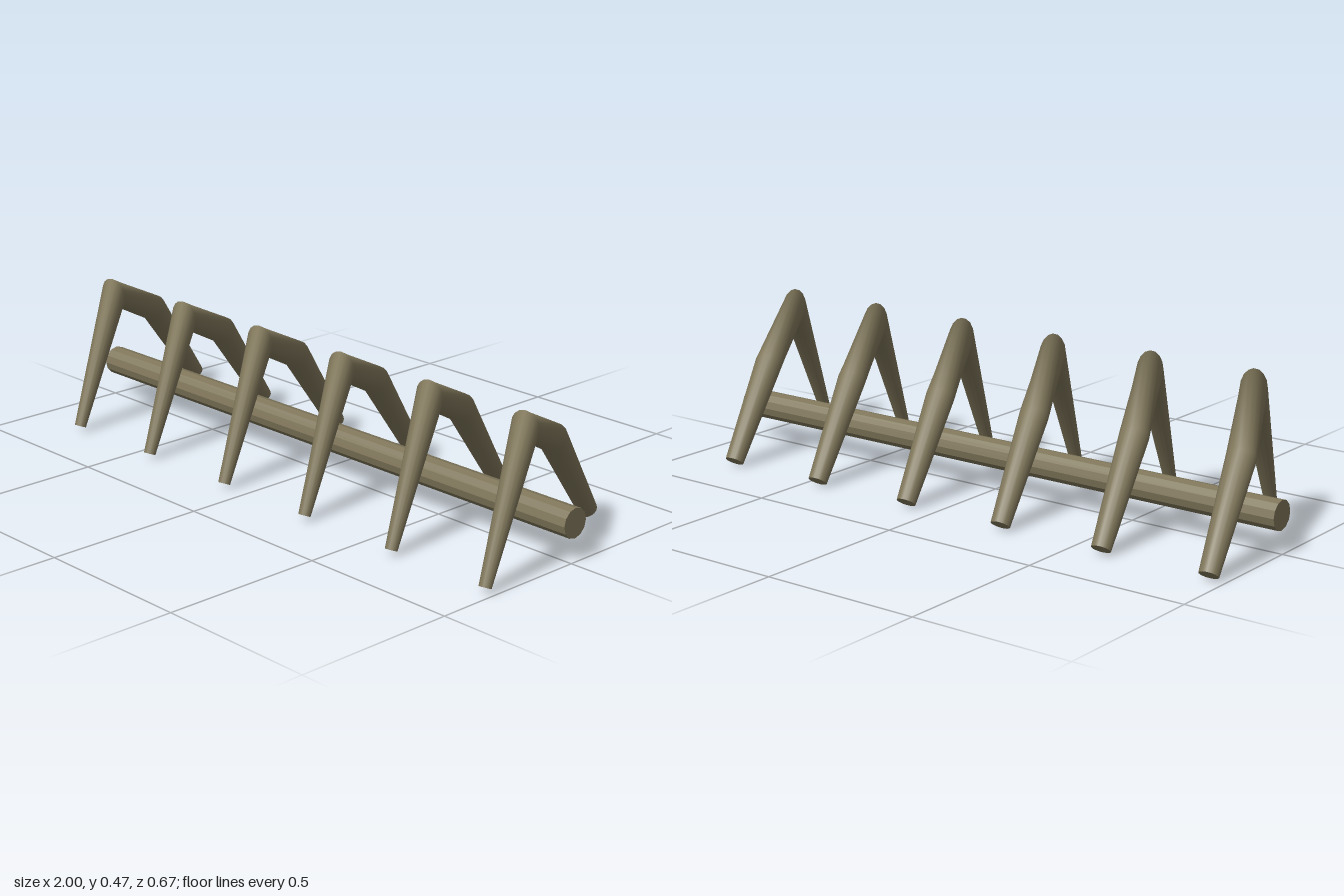
import * as THREE from 'three';

const SIDES = 16;

// Mitred tapering tube: a ring on the bisecting plane at each bend, plus flat end caps
function bentTube(points, radii) {
  const dirs = points.slice(1).map((p, i) => p.clone().sub(points[i]).normalize());
  const last = points.length - 1;
  const pos = [], index = [], rings = [];
  for (let i = 0; i <= last; i++) {
    const t1 = dirs[Math.max(i - 1, 0)], t2 = dirs[Math.min(i, last - 1)];
    const t = t1.clone().add(t2).normalize();
    const k = Math.min(Math.max(i, 1), last - 1);
    const w = dirs[k - 1].clone().cross(dirs[k]).normalize();
    const v = w.clone().cross(t).normalize();
    const stretch = 1 / t.dot(t1);
    const ring = [];
    for (let j = 0; j < SIDES; j++) {
      const a = (j / SIDES) * Math.PI * 2;
      ring.push(points[i].clone()
        .addScaledVector(v, Math.cos(a) * radii[i] * stretch)
        .addScaledVector(w, Math.sin(a) * radii[i]));
    }
    rings.push(ring);
    ring.forEach(p => pos.push(p.x, p.y, p.z));
  }
  for (let i = 0; i < last; i++) {
    for (let j = 0; j < SIDES; j++) {
      const n = (j + 1) % SIDES;
      const a = i * SIDES + j, b = i * SIDES + n, d = a + SIDES, c = b + SIDES;
      index.push(a, b, d, b, c, d);
    }
  }
  // Caps have their own vertices so their rims stay sharp
  for (const [i, flip] of [[0, true], [last, false]]) {
    const base = pos.length / 3;
    rings[i].forEach(p => pos.push(p.x, p.y, p.z));
    for (let j = 1; j < SIDES - 1; j++) {
      index.push(base, base + (flip ? j + 1 : j), base + (flip ? j : j + 1));
    }
  }
  const geo = new THREE.BufferGeometry();
  geo.setAttribute('position', new THREE.Float32BufferAttribute(pos, 3));
  geo.setIndex(index);
  geo.computeVertexNormals();
  return geo;
}

export function createModel() {
  const model = new THREE.Group();
  model.name = 'rodWithBentLegs';
  const bark = new THREE.MeshStandardMaterial({ color: 0x7f765a });
  bark.name = 'olive brown';

  // Long faceted rod lying along x
  const rodGeo = new THREE.CylinderGeometry(0.045, 0.045, 2, 12).rotateZ(Math.PI / 2).toNonIndexed();
  rodGeo.computeVertexNormals();
  const rod = new THREE.Mesh(rodGeo, bark);
  rod.name = 'rod';
  rod.position.set(0, 0.118, -0.01);
  model.add(rod);

  // Six bent legs arching over the rod: front foot, front knee, back knee, back foot
  const legGeo = bentTube([
    new THREE.Vector3(0.097, 0.018, 0.316),
    new THREE.Vector3(0.066, 0.418, 0.14),
    new THREE.Vector3(-0.05, 0.295, -0.11),
    new THREE.Vector3(-0.08, 0.019, -0.31),
  ], [0.018, 0.04, 0.043, 0.029]);
  for (let i = 0; i < 6; i++) {
    const leg = new THREE.Mesh(legGeo, bark);
    leg.name = `leg${i + 1}`;
    leg.position.x = -0.875 + i * 0.35;
    model.add(leg);
  }
  return model;
}
